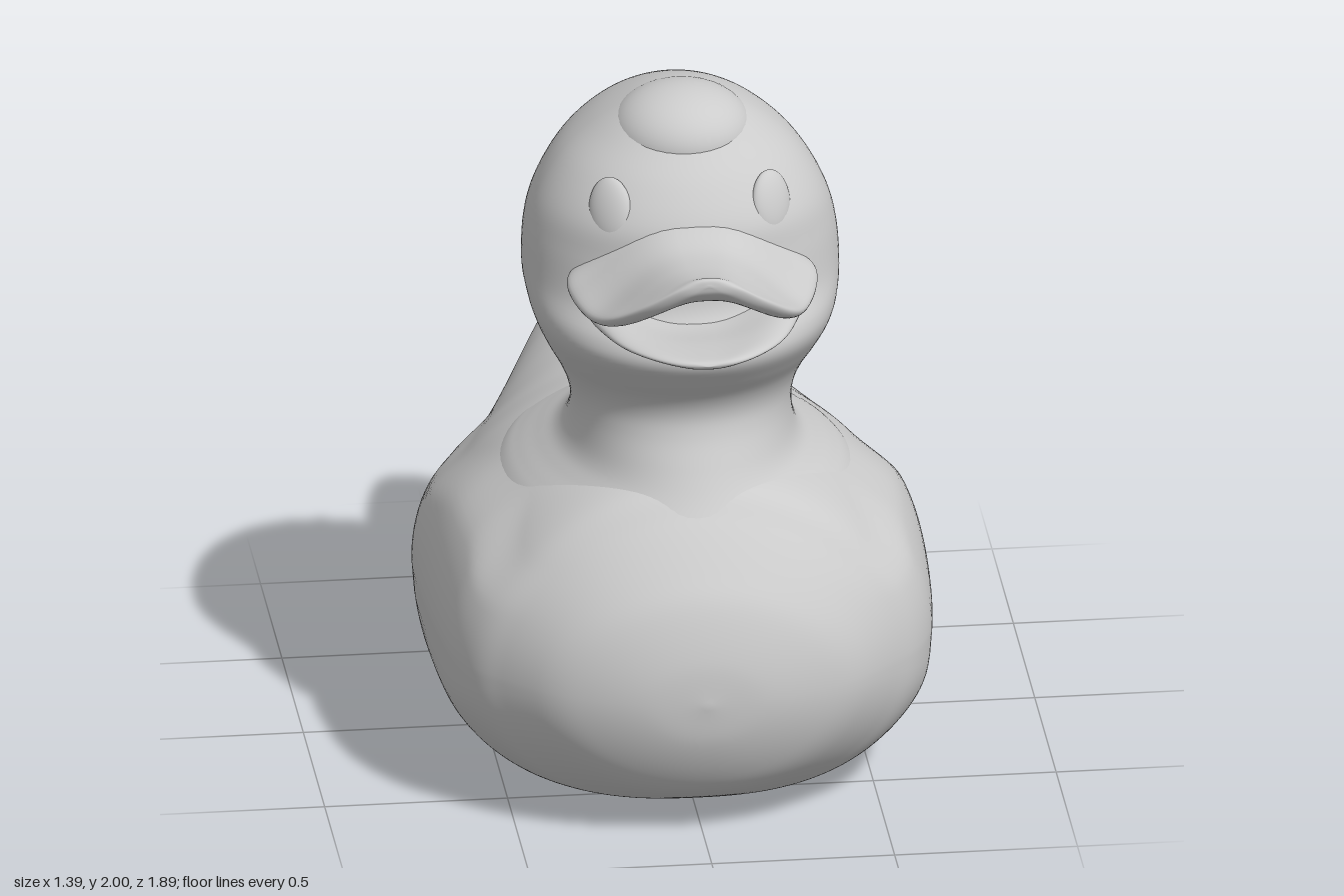
import * as THREE from 'three';
import { mergeVertices } from 'three/addons/utils/BufferGeometryUtils.js';

const material = new THREE.MeshStandardMaterial({ color: 0xcccccc, roughness: 0.7 });
const smooth = THREE.MathUtils.smoothstep;
const signedPow = (v, p) => Math.sign(v) * Math.abs(v) ** p;

// Smooth (Catmull-Rom) interpolation of a table of section parameters
function resample(rows, perSpan) {
  const out = [];
  const n = rows.length - 1;
  for (let s = 0; s <= n * perSpan; s++) {
    const i = Math.min(Math.floor(s / perSpan), n - 1);
    const t = s / perSpan - i;
    out.push(rows[0].map((_, c) => {
      const b = rows[i][c], d = rows[i + 1][c];
      const m0 = i > 0 ? (d - rows[i - 1][c]) / 2 : d - b;
      const m1 = i + 2 <= n ? (rows[i + 2][c] - b) / 2 : d - b;
      const t2 = t * t, t3 = t2 * t;
      return (2 * t3 - 3 * t2 + 1) * b + (t3 - 2 * t2 + t) * m0 + (3 * t2 - 2 * t3) * d + (t3 - t2) * m1;
    }));
  }
  return out;
}

// Skin closed rings; section(row, angle) gives a point [x, y, z]
function loft(name, rows, perSpan, sides, section) {
  const pos = [], index = [];
  const fine = resample(rows, perSpan);
  fine.forEach((row, i) => {
    for (let j = 0; j < sides; j++) {
      pos.push(...section(row, (j / sides) * Math.PI * 2));
      if (i === fine.length - 1) continue;
      const a = i * sides + j, b = i * sides + (j + 1) % sides;
      index.push(a, a + sides, b, b, a + sides, b + sides);
    }
  });
  let geo = new THREE.BufferGeometry();
  geo.setAttribute('position', new THREE.Float32BufferAttribute(pos, 3));
  geo.setIndex(index);
  geo = mergeVertices(geo, 1e-5);
  geo.computeVertexNormals();
  const mesh = new THREE.Mesh(geo, material);
  mesh.name = name;
  return mesh;
}

function ellipsoid(name, position, scale, rotation = [0, 0, 0]) {
  const mesh = new THREE.Mesh(new THREE.SphereGeometry(1, 40, 28), material);
  mesh.name = name;
  mesh.position.set(...position);
  mesh.scale.set(...scale);
  mesh.rotation.set(...rotation);
  return mesh;
}

// How far the folded wing stands out of the body side
function wingBulge(y, z) {
  const top = 0.68 + 0.16 * smooth(z, -0.36, 0.2) - 0.1 * smooth(z, 0.35, 0.65) - 0.12 * smooth(-z, 0.5, 0.66);
  const bottom = 0.02 + 0.16 * smooth(-z, 0.25, 0.65) + 0.08 * smooth(z, 0.3, 0.65);
  return 0.042 * smooth(y, bottom, bottom + 0.26) * (1 - smooth(y, top - 0.12, top + 0.02))
    * smooth(z, -0.68, -0.55) * (1 - smooth(z, 0.48, 0.78));
}

// Body and tail: z, half width, top, bottom, height of widest line, pear narrowing of the top
const bodyRows = [
  [0.92, 0, 0.43, 0.43, 0.43, 0],
  [0.905, 0.17, 0.555, 0.31, 0.43, 0],
  [0.86, 0.32, 0.685, 0.2, 0.43, 0],
  [0.8, 0.43, 0.772, 0.125, 0.43, 0],
  [0.7, 0.53, 0.885, 0.065, 0.43, 0],
  [0.6, 0.595, 0.965, 0.03, 0.43, 0],
  [0.4, 0.632, 0.985, 0.006, 0.44, -0.05],
  [0.1, 0.65, 0.99, 0, 0.44, -0.07],
  [-0.15, 0.645, 0.96, 0, 0.44, 0.02],
  [-0.35, 0.6, 0.93, 0.006, 0.44, 0.15],
  [-0.5, 0.53, 0.945, 0.022, 0.44, 0.3],
  [-0.6, 0.475, 0.99, 0.045, 0.45, 0.42],
  [-0.68, 0.425, 1.065, 0.085, 0.46, 0.53],
  [-0.74, 0.375, 1.15, 0.125, 0.48, 0.59],
  [-0.8, 0.318, 1.19, 0.185, 0.5, 0.6],
  [-0.86, 0.25, 1.165, 0.28, 0.54, 0.54],
  [-0.91, 0.175, 1.07, 0.41, 0.6, 0.42],
  [-0.94, 0.09, 0.94, 0.57, 0.7, 0.25],
  [-0.95, 0, 0.77, 0.77, 0.77, 0],
];

function bodySection([z, w, top, bottom, mid, pear], a) {
  const c = Math.cos(a), s = Math.sin(a);
  let x, y;
  if (s >= 0) {
    x = w * signedPow(c, 1 - 1.2 * pear * pear) * (1 - pear * s * s);
    y = mid + (top - mid) * s;
  } else {
    // flat base: squarer underside amidships, round towards breast and tail
    const power = 0.52 + 0.4 * smooth(Math.abs(z), 0.4, 0.88);
    const depth = (-s) ** power;
    x = w * signedPow(c, power) * (1 - 0.12 * depth ** 1.5);
    y = Math.max(0, mid - (mid - bottom) * depth);
  }
  return [x + Math.sign(c) * wingBulge(y, z) * Math.min(1, Math.abs(c) * 3), y, z];
}

// Neck and head, flaring into the body: y, front z, back z, half width
const headRows = [
  [0.76, 0.785, -0.47, 0.525],
  [0.84, 0.732, -0.42, 0.47],
  [0.88, 0.702, -0.36, 0.428],
  [0.92, 0.674, -0.285, 0.378],
  [0.96, 0.65, -0.2, 0.335],
  [1.01, 0.624, -0.115, 0.31],
  [1.08, 0.592, -0.047, 0.3],
  [1.14, 0.582, -0.045, 0.31],
  [1.2, 0.603, -0.08, 0.335],
  [1.27, 0.66, -0.13, 0.37],
  [1.34, 0.71, -0.18, 0.4],
  [1.4, 0.7, -0.215, 0.42],
  [1.48, 0.64, -0.246, 0.432],
  [1.6, 0.62, -0.258, 0.422],
  [1.7, 0.605, -0.225, 0.39],
  [1.8, 0.54, -0.16, 0.328],
  [1.88, 0.46, -0.07, 0.245],
  [1.94, 0.4, 0.05, 0.16],
  [1.98, 0.35, 0.18, 0.08],
  [1.99, 0.29, 0.29, 0],
];
function headSection([y, front, back, w], a) {
  // above the neck the widest line moves forward, giving fuller cheeks
  const mid = back + (front - back) * (0.5 + 0.08 * smooth(y, 1.1, 1.4));
  const s = Math.sin(a);
  return [w * Math.cos(a), y, mid + (s > 0 ? front - mid : mid - back) * s];
}

// Bill halves from tip to root: z, half width, centre height, edge height, half thickness
const upperBillRows = [
  [0.945, 0, 1.69, 1.69, 0],
  [0.935, 0.08, 1.685, 1.67, 0.024],
  [0.89, 0.165, 1.66, 1.61, 0.036],
  [0.8, 0.247, 1.64, 1.54, 0.045],
  [0.7, 0.295, 1.635, 1.505, 0.052],
  [0.6, 0.332, 1.648, 1.517, 0.066],
  [0.52, 0.34, 1.665, 1.54, 0.066],
  [0.44, 0.3, 1.66, 1.55, 0.055],
];
const lowerBillRows = [
  [0.945, 0, 1.452, 1.452, 0],
  [0.93, 0.08, 1.45, 1.455, 0.012],
  [0.88, 0.155, 1.443, 1.458, 0.02],
  [0.8, 0.22, 1.43, 1.46, 0.03],
  [0.7, 0.265, 1.405, 1.465, 0.046],
  [0.6, 0.29, 1.4, 1.468, 0.055],
  [0.44, 0.28, 1.4, 1.46, 0.055],
];
const billSection = ([z, w, mid, edge, thick], a) => {
  const u = signedPow(Math.cos(a), 0.8);
  const arch = (1 + Math.cos(Math.PI * Math.abs(u) ** 1.35)) / 2;
  return [w * u, edge + (mid - edge) * arch + thick * Math.sin(a), z];
};

export function createModel() {
  const model = new THREE.Group();
  model.name = 'bathDuck';
  model.add(
    loft('bodyWithWingsAndTail', bodyRows, 10, 160, bodySection),
    loft('neckAndHead', headRows, 6, 96, headSection),
    loft('upperBill', upperBillRows, 6, 64, billSection),
    loft('lowerBill', lowerBillRows, 6, 64, billSection),
    // Tuft on the crown
    ellipsoid('tuft', [0, 1.868, 0.28], [0.195, 0.132, 0.187]),
  );
  // Eyes, set almost flush
  for (const side of [1, -1]) {
    model.add(ellipsoid(side > 0 ? 'leftEye' : 'rightEye',
      [side * 0.22, 1.735, 0.503], [0.064, 0.09, 0.028], [-0.4, side * 0.6, 0]));
  }
  return model;
}
